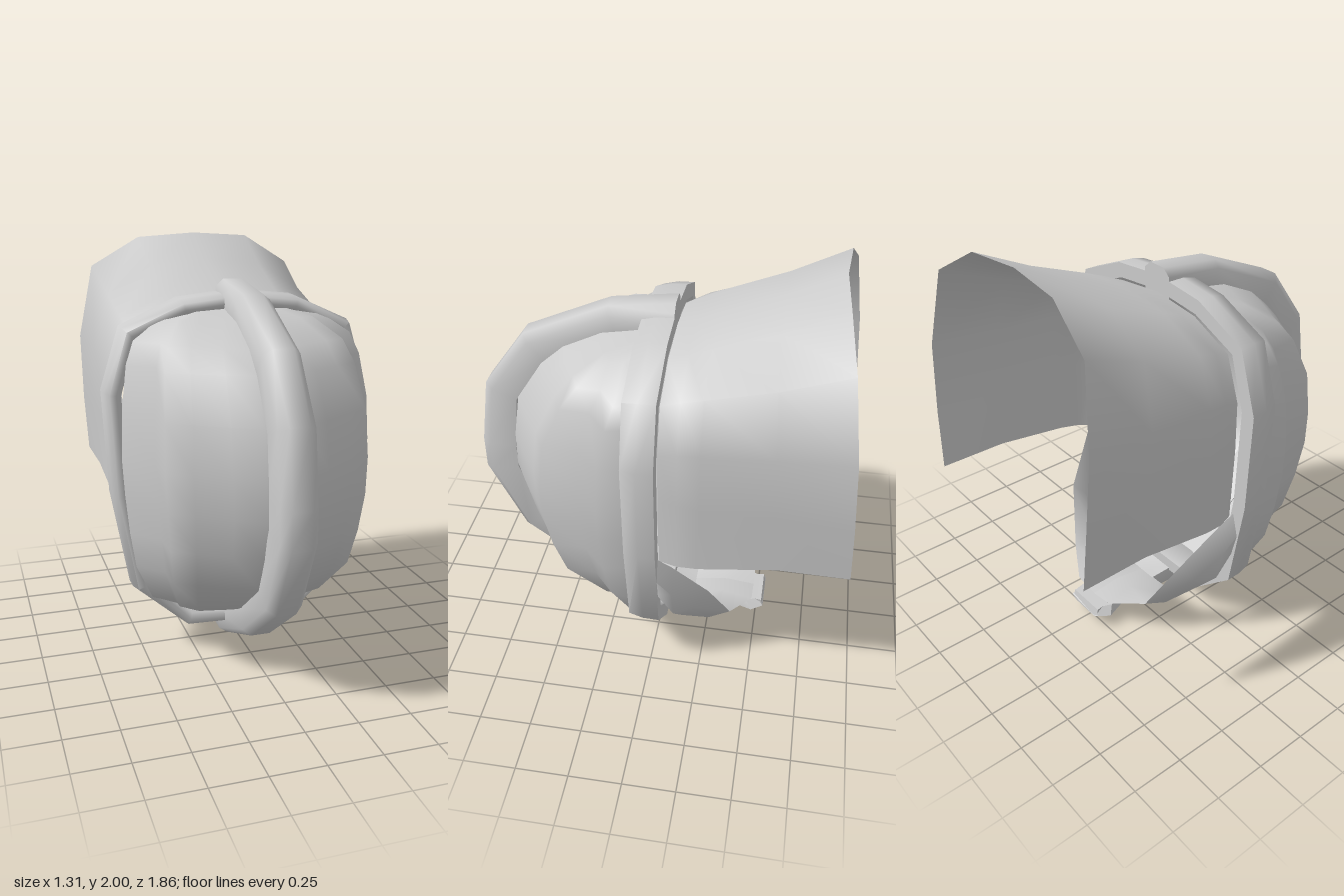
import * as THREE from 'three';
import { toCreasedNormals } from 'three/addons/utils/BufferGeometryUtils.js';

const material = new THREE.MeshStandardMaterial({ color: 0xcccccc, side: THREE.DoubleSide });

// Skin a list of cross-sections (rows of [x, y, z]) into a surface.
function skin(name, rows, { loop = false, ring = false, caps = false, crease = 1.0 } = {}) {
  const n = rows[0].length;
  const pos = rows.flat(2), idx = [];
  const rowCount = ring ? rows.length : rows.length - 1;
  const colCount = loop ? n : n - 1;
  for (let i = 0; i < rowCount; i++) {
    for (let j = 0; j < colCount; j++) {
      const k = (j + 1) % n, a = i * n, b = ((i + 1) % rows.length) * n;
      idx.push(a + j, a + k, b + j, a + k, b + k, b + j);
    }
  }
  if (caps) {
    const last = (rows.length - 1) * n;
    for (let j = 1; j < n - 1; j++) {
      idx.push(0, j + 1, j, last, last + j, last + j + 1);
    }
  }
  const g = new THREE.BufferGeometry();
  g.setAttribute('position', new THREE.Float32BufferAttribute(pos, 3));
  g.setIndex(idx);
  g.computeVertexNormals();
  const mesh = new THREE.Mesh(crease < 3 ? toCreasedNormals(g, crease) : g, material);
  mesh.name = name;
  return mesh;
}

// Complete a half row that ends on the centre plane.
const mirrorRow = half => [...half, ...half.slice(0, -1).reverse().map(([x, ...r]) => [-x, ...r])];

// Bulging face shell: one stepped horizontal section, scaled by height.
function faceShell() {
  const section = [[0.93, 0], [1, 0.29], [0.79, 0.45], [0.78, 0.68], [0.6, 0.76], [0.36, 0.89], [0.15, 0.985], [0, 1]];
  const levels = [ // y, half width, depth
    [1.7, 0.24, 0.08], [1.66, 0.4, 0.3], [1.57, 0.53, 0.48], [1.47, 0.57, 0.59], [1.27, 0.6, 0.72],
    [1.05, 0.61, 0.755], [0.87, 0.6, 0.76], [0.68, 0.58, 0.71], [0.5, 0.55, 0.63], [0.3, 0.46, 0.37], [0.17, 0.27, 0.1],
  ];
  const rows = levels.map(([y, w, d]) => mirrorRow(section.map(([u, v]) => [u * w, y, v * d])));
  return skin('faceShell', rows, { crease: Math.PI });
}

// Rounded frame around the face opening.
function faceFrame() {
  const half = [[0, 0.11], [0.28, 0.12], [0.53, 0.34], [0.615, 0.82], [0.64, 1.32], [0.55, 1.61], [0.28, 1.73], [0, 1.76]];
  const outline = [...half, ...half.slice(1, -1).reverse().map(([x, y]) => [-x, y])];
  const section = [[-0.06, -0.05], [0.014, -0.05], [0.012, 0.03], [-0.005, 0.1], [-0.035, 0.105], [-0.06, 0.09]];
  const n = outline.length;
  const rows = outline.map(([x, y], i) => {
    const p = outline[(i + n - 1) % n], q = outline[(i + 1) % n];
    const t = new THREE.Vector2(q[0] - p[0], q[1] - p[1]).normalize();
    return section.map(([o, z]) => [x + t.y * o, y - t.x * o, z]);
  });
  return skin('faceFrame', rows, { loop: true, ring: true, crease: 1.2 });
}

// Centre ridge sweeping over the crown, down the face and under the chin.
function centreRidge() {
  const path = [ // outer z, y, inner z, y, half width
    [-0.05, 1.82, -0.05, 1.68, 0.085], [0.26, 1.78, 0.22, 1.66, 0.085], [0.67, 1.6, 0.56, 1.48, 0.085],
    [0.88, 1.31, 0.72, 1.25, 0.085], [0.93, 0.97, 0.75, 0.97, 0.085], [0.93, 0.8, 0.75, 0.84, 0.085],
    [0.75, 0.43, 0.62, 0.52, 0.085], [0.4, 0.17, 0.34, 0.29, 0.085], [0, 0, 0, 0.115, 0.09],
    [-0.48, 0.05, -0.47, 0.105, 0.09], [-0.54, 0.055, -0.53, 0.105, 0.1],
  ];
  const section = [[-1, 0], [-1, 0.75], [-0.55, 1], [0.55, 1], [1, 0.75], [1, 0]];
  const rows = path.map(([oz, oy, iz, iy, w]) =>
    section.map(([u, t]) => [u * w, iy + (oy - iy) * t, iz + (oz - iz) * t]));
  return skin('centreRidge', rows, { loop: true, caps: true });
}

// Flared sheet covering the crown and the sides of the neck.
function neckGuard() {
  const rows = [
    [[0.53, 0.72, -0.05], [0.55, 1.1, -0.05], [0.55, 1.35, -0.05], [0.48, 1.56, -0.05], [0.26, 1.66, -0.05], [0, 1.69, -0.05]],
    [[0.57, 0.735, -0.14], [0.575, 1.1, -0.14], [0.575, 1.38, -0.14], [0.5, 1.6, -0.14], [0.27, 1.7, -0.14], [0, 1.725, -0.14]],
    [[0.585, 0.75, -0.24], [0.59, 1.1, -0.24], [0.59, 1.4, -0.24], [0.51, 1.63, -0.24], [0.28, 1.74, -0.24], [0, 1.765, -0.24]],
    [[0.585, 0.8, -0.6], [0.59, 1.1, -0.58], [0.595, 1.42, -0.56], [0.52, 1.71, -0.54], [0.29, 1.85, -0.53], [0, 1.88, -0.53]],
    [[0.59, 0.8, -0.93], [0.61, 1.1, -0.915], [0.62, 1.45, -0.89], [0.55, 1.83, -0.84], [0.3, 1.98, -0.8], [0, 2, -0.78]],
  ].map(mirrorRow);
  return skin('neckGuard', rows, { crease: Math.PI });
}

// Strap from the side of the frame down to the chin rest.
function chinStrap(side) {
  const path = [ // x, upper y, z, lower y, z
    [0.56, 0.76, -0.04, 0.53, -0.04], [0.53, 0.69, -0.11, 0.38, -0.12], [0.44, 0.47, -0.28, 0.28, -0.15],
    [0.3, 0.2, -0.38, 0.14, -0.17], [0.13, 0.14, -0.48, 0.11, -0.16], [0, 0.12, -0.48, 0.11, -0.16],
  ];
  const rows = path.map(([x, uy, uz, ly, lz]) => {
    const my = (uy + ly) / 2, mz = (uz + lz) / 2;
    return [[x, uy, uz], [x + 0.03, my, mz], [x, ly, lz], [x - 0.03, my + 0.02, mz]]
      .map(([a, b, c]) => [a * side, b, c]);
  });
  return skin(side > 0 ? 'leftChinStrap' : 'rightChinStrap', rows, { loop: true, caps: true, crease: 1.6 });
}

// Small flared rest at the rear end of the ridge.
function chinRest() {
  const rows = [[-0.36, 0.085, 0.03], [-0.48, 0.14, 0.045], [-0.54, 0.11, 0.055]].map(([z, w, y]) =>
    [[-w * 0.7, y, z], [w * 0.7, y, z], [w, y + 0.02, z], [w * 0.8, 0.105, z + 0.03], [-w * 0.8, 0.105, z + 0.03], [-w, y + 0.02, z]]);
  return skin('chinRest', rows, { loop: true, caps: true, crease: 0.6 });
}

export function createModel() {
  const model = new THREE.Group();
  model.name = 'faceGuardHelmet';
  model.add(faceShell(), faceFrame(), centreRidge(), neckGuard(), chinStrap(1), chinStrap(-1), chinRest());
  return model;
}
